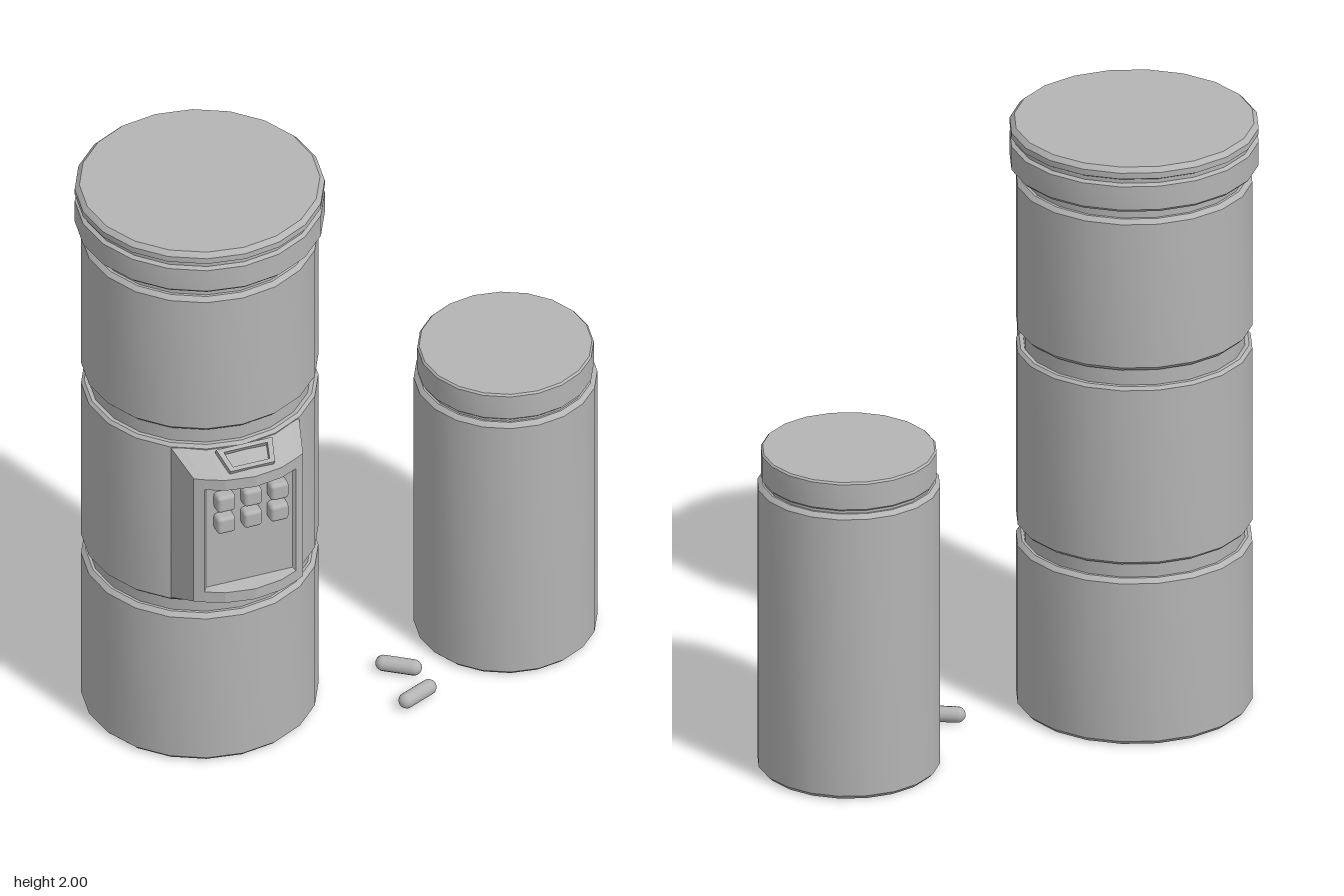
import * as THREE from 'three';
import { toCreasedNormals } from 'three/addons/utils/BufferGeometryUtils.js';
import { RoundedBoxGeometry } from 'three/addons/geometries/RoundedBoxGeometry.js';

const grey = new THREE.MeshStandardMaterial({ color: 0xb4b4b4 });
grey.name = 'plain grey';

function add(parent, name, geometry, x = 0, y = 0, z = 0) {
  const mesh = new THREE.Mesh(geometry, grey);
  mesh.name = name;
  mesh.position.set(x, y, z);
  parent.add(mesh);
  return mesh;
}

// Twenty-sided turned part from [radius, height] pairs
function turned(profile) {
  const points = profile.map(([r, y]) => new THREE.Vector2(r, y));
  return toCreasedNormals(new THREE.LatheGeometry(points, 20), 0.5);
}

// Bevelled drum section between two heights
function drum(y0, y1, r, bevel) {
  return turned([[0, y0], [r - bevel, y0], [r, y0 + bevel], [r, y1 - bevel], [r - bevel, y1], [0, y1]]);
}

// Curved control housing with chamfered edges and a sunken flat face
function housingGeometry() {
  const xs = [-0.22, -0.185, -0.155, -0.095, 0, 0.095, 0.155, 0.185, 0.22];
  const zs = [0, 0.42, 0.437, 0.465, 0.48, 0.465, 0.437, 0.42, 0];
  const ys = [1.225, 1.17, 1.13, 0.73, 0.69, 0.63];
  const last = xs.length - 1;
  const positions = [];
  const quad = (a, b, c, d) => [a, b, c, a, c, d].forEach((p) => positions.push(...p));
  const rim = (r, c) => {
    const end = r === 0 || r === ys.length - 1;
    if (!end && c > 0 && c < last) return [xs[c], ys[r], zs[c]];
    let x = xs[c];
    if (end && c > 0 && c < last) x *= 0.22 / 0.185;
    return [x, ys[r], Math.sqrt(0.367 ** 2 - x * x)];
  };
  const floor = (r, c) => [xs[c] * 0.94, r === 2 ? 1.12 : 0.74, 0.428];

  for (let r = 0; r < ys.length - 1; r++) {
    for (let c = 0; c < last; c++) {
      const sunken = r === 2 && c >= 2 && c < 6;
      if (!sunken) quad(rim(r, c), rim(r + 1, c), rim(r + 1, c + 1), rim(r, c + 1));
    }
  }
  // Recess walls and floor
  for (let c = 2; c < 6; c++) {
    quad(rim(2, c), floor(2, c), floor(2, c + 1), rim(2, c + 1));
    quad(floor(3, c), rim(3, c), rim(3, c + 1), floor(3, c + 1));
  }
  quad(rim(2, 2), rim(3, 2), floor(3, 2), floor(2, 2));
  quad(floor(2, 6), floor(3, 6), rim(3, 6), rim(2, 6));
  quad(floor(2, 2), floor(3, 2), floor(3, 6), floor(2, 6));

  const geometry = new THREE.BufferGeometry();
  geometry.setAttribute('position', new THREE.Float32BufferAttribute(positions, 3));
  geometry.computeVertexNormals();
  return geometry;
}

// Tapered frame of the tray on the sloping top of the housing
function trayGeometry() {
  const outline = (w0, w1, h) => [[-w0, -h], [w0, -h], [w1, h], [-w1, h]].map(([x, y]) => new THREE.Vector2(x, y));
  const shape = new THREE.Shape(outline(0.075, 0.095, 0.042));
  shape.holes.push(new THREE.Path(outline(0.062, 0.074, 0.028)));
  return new THREE.ExtrudeGeometry(shape, { depth: 0.02, bevelEnabled: false });
}

export function createModel() {
  const model = new THREE.Group();
  model.name = 'dispenserSet';

  // Tall dispenser: three drums on a narrower core
  const dispenser = new THREE.Group();
  dispenser.name = 'dispenser';
  dispenser.position.set(-0.465, 0, -0.045);
  model.add(dispenser);
  add(dispenser, 'core', turned([[0.352, 0.5], [0.352, 1.87]]));
  add(dispenser, 'lowerDrum', drum(0, 0.572, 0.375, 0.014));
  add(dispenser, 'middleDrum', drum(0.622, 1.235, 0.375, 0.01));
  add(dispenser, 'upperDrum', drum(1.29, 1.812, 0.375, 0.014));
  add(dispenser, 'lid', turned([
    [0, 1.848], [0.385, 1.848], [0.395, 1.858], [0.395, 1.938], [0.382, 1.945],
    [0.382, 1.958], [0.395, 1.965], [0.395, 1.985], [0.38, 2], [0, 2],
  ]));

  // Control panel
  const panel = new THREE.Group();
  panel.name = 'controlPanel';
  dispenser.add(panel);
  add(panel, 'housing', housingGeometry());
  add(panel, 'tray', trayGeometry(), 0, 1.197, 0.412).rotation.x = -1.08;
  for (const y of [1.075, 0.992]) {
    for (const x of [-0.09, 0, 0.09]) {
      add(panel, 'button', new RoundedBoxGeometry(0.062, 0.062, 0.05, 2, 0.013), x, y, 0.443);
    }
  }

  // Smaller bottle with its cap
  const bottle = new THREE.Group();
  bottle.name = 'bottle';
  bottle.position.set(0.568, 0, -0.038);
  model.add(bottle);
  add(bottle, 'bottleBody', drum(0, 0.982, 0.29, 0.014));
  add(bottle, 'bottleNeck', turned([[0.27, 0.97], [0.27, 1.01]]));
  add(bottle, 'bottleCap', drum(0.992, 1.09, 0.279, 0.006));

  // Two loose capsules lying on the ground
  for (const [z, turn] of [[0.092, -0.62], [0.255, 0.42]]) {
    const capsule = add(model, 'capsule', new THREE.CapsuleGeometry(0.026, 0.098, 6, 12), 0.155, 0.028, z);
    capsule.rotation.set(0, turn, Math.PI / 2);
  }
  return model;
}
